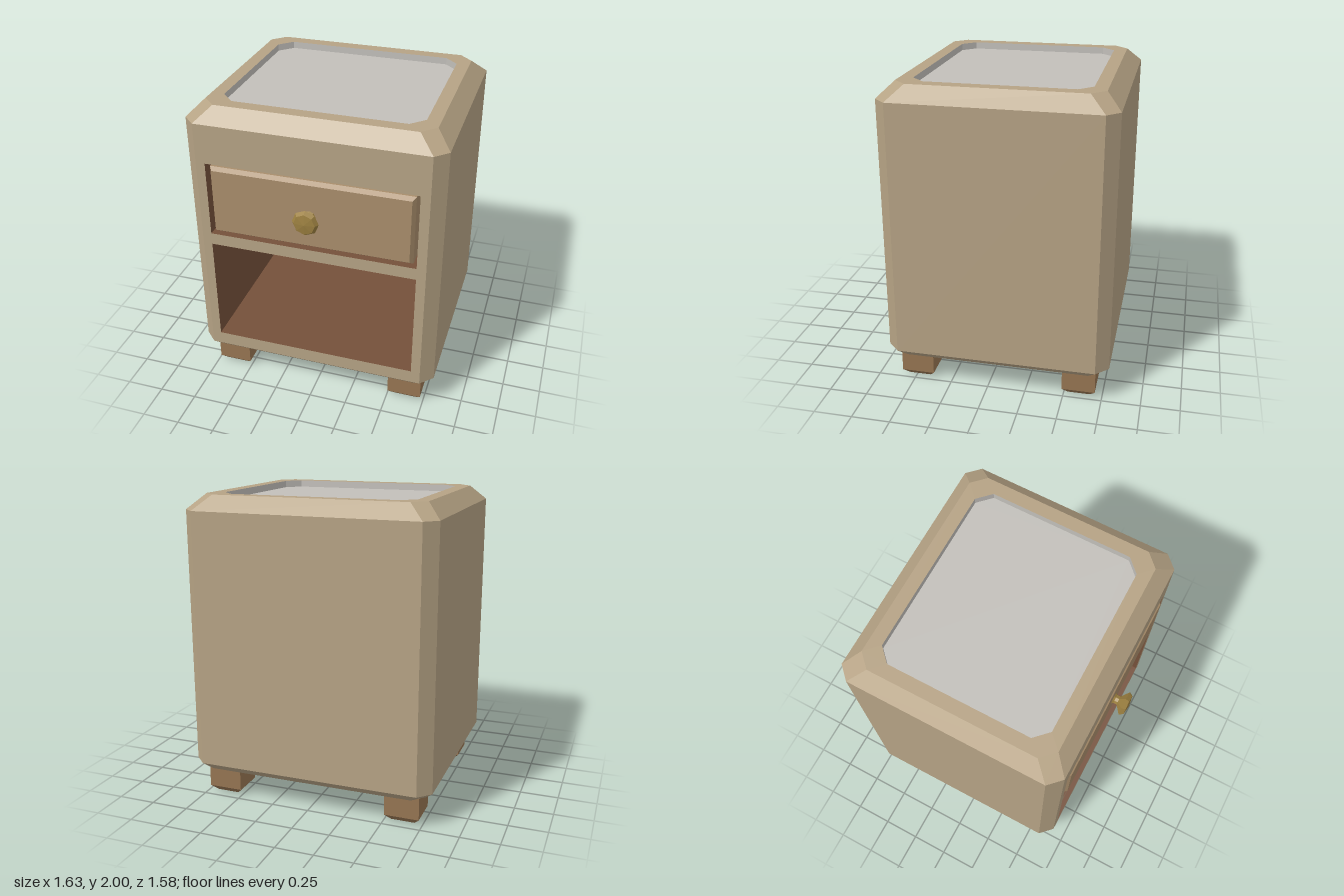
import * as THREE from 'three';

const mat = (color, side = THREE.FrontSide) =>
  new THREE.MeshStandardMaterial({ color, flatShading: true, side });

// Rectangle outline with cut corners, counter-clockwise from above
function outline([x0, x1, z0, z1], inset, c) {
  x0 += inset; x1 -= inset; z0 += inset; z1 -= inset;
  if (!c) return [[x1, z1], [x1, z0], [x0, z0], [x0, z1]];
  return [[x1, z1 - c], [x1, z0 + c], [x1 - c, z0], [x0 + c, z0],
    [x0, z0 + c], [x0, z1 - c], [x0 + c, z1], [x1 - c, z1]];
}

// Faceted loft through rings of [y, inset, corner cut]; skip(ring, side) leaves a face open
function loft(rect, rings, { bottom = true, top = true, skip = () => false } = {}) {
  const loops = rings.map(([y, inset, c]) => outline(rect, inset, c).map(([x, z]) => [x, y, z]));
  const pos = [];
  const tri = (...pts) => pts.forEach((p) => pos.push(...p));
  const n = loops[0].length;
  for (let r = 0; r < loops.length - 1; r++) {
    const a = loops[r], b = loops[r + 1];
    for (let i = 0; i < n; i++) {
      if (skip(r, i)) continue;
      const j = (i + 1) % n;
      tri(a[i], a[j], b[j]);
      tri(a[i], b[j], b[i]);
    }
  }
  const first = loops[0], last = loops[loops.length - 1];
  for (let i = 1; i < n - 1; i++) {
    if (bottom) tri(first[0], first[i + 1], first[i]);
    if (top) tri(last[0], last[i], last[i + 1]);
  }
  const g = new THREE.BufferGeometry();
  g.setAttribute('position', new THREE.Float32BufferAttribute(pos, 3));
  g.computeVertexNormals();
  return g;
}

export function createModel() {
  const model = new THREE.Group();
  model.name = 'nightstand';
  const add = (name, geometry, material, parent = model) => {
    const m = new THREE.Mesh(geometry, material);
    m.name = name;
    parent.add(m);
    return m;
  };
  const wood = mat(0xb5a284), panelWood = mat(0xa88d6b), legWood = mat(0x967552);
  const inside = mat(0x75503a, THREE.BackSide), stone = mat(0xc2bfba), brass = mat(0x9c8040);

  // Chamfered cabinet shell; its flat front is made separately
  const body = [-0.815, 0.815, -0.79, 0.67];
  add('cabinet', loft(body, [
    [0.185, 0.05, 0.08], [0.235, 0, 0.08], [1.905, 0, 0.08], [2, 0.095, 0.085], [2, 0.18, 0.085],
  ], { top: false, skip: (r, i) => r === 1 && i === 6 }), wood);

  // Inset stone top: recess walls and floor
  add('stoneTop', loft(body, [[2, 0.18, 0.085], [1.955, 0.18, 0.085]], { bottom: false }), stone);

  // Front frame with the drawer and shelf openings
  const openings = [
    { name: 'shelfCavity', y0: 0.325, y1: 1.06 },
    { name: 'drawerCavity', y0: 1.14, y1: 1.645 },
  ];
  const hw = 0.675;
  const frame = new THREE.Shape([[-0.735, 0.235], [0.735, 0.235], [0.735, 1.905], [-0.735, 1.905]]
    .map((p) => new THREE.Vector2(...p)));
  for (const { name, y0, y1 } of openings) {
    frame.holes.push(new THREE.Path([[-hw, y0], [-hw, y1], [hw, y1], [hw, y0]]
      .map((p) => new THREE.Vector2(...p))));
    // Hollow lining, open at the front
    const g = loft([-hw, hw, -y1, -y0], [[-0.69, 0, 0], [0.67, 0, 0]], { top: false });
    add(name, g.rotateX(Math.PI / 2), inside);
  }
  add('frontFrame', new THREE.ShapeGeometry(frame).translate(0, 0, 0.67), wood);

  // Drawer with a bevelled front
  const drawer = new THREE.Group();
  drawer.name = 'drawer';
  model.add(drawer);
  add('drawerFront', loft([-0.65, 0.65, -1.625, -1.16],
    [[-0.62, 0, 0], [0.65, 0, 0], [0.677, 0.02, 0]]).rotateX(Math.PI / 2), panelWood, drawer);

  // Eight-sided knob
  const profile = [[0.04, 0], [0.031, 0.012], [0.031, 0.035], [0.085, 0.075], [0.068, 0.1], [0, 0.109]]
    .map((p) => new THREE.Vector2(...p));
  add('knob', new THREE.LatheGeometry(profile, 8).rotateX(Math.PI / 2), brass, drawer)
    .position.set(0, 1.39, 0.677);

  // Four short feet with bevelled soles
  for (const [x, side] of [[0.618, 'left'], [-0.618, 'right']]) {
    for (const [z, end] of [[0.483, 'Front'], [-0.597, 'Back']]) {
      add(side + end + 'Foot', loft([-0.113, 0.113, -0.108, 0.108],
        [[0, 0.037, 0], [0.04, 0, 0], [0.187, 0, 0]]), legWood).position.set(x, 0, z);
    }
  }
  return model;
}
